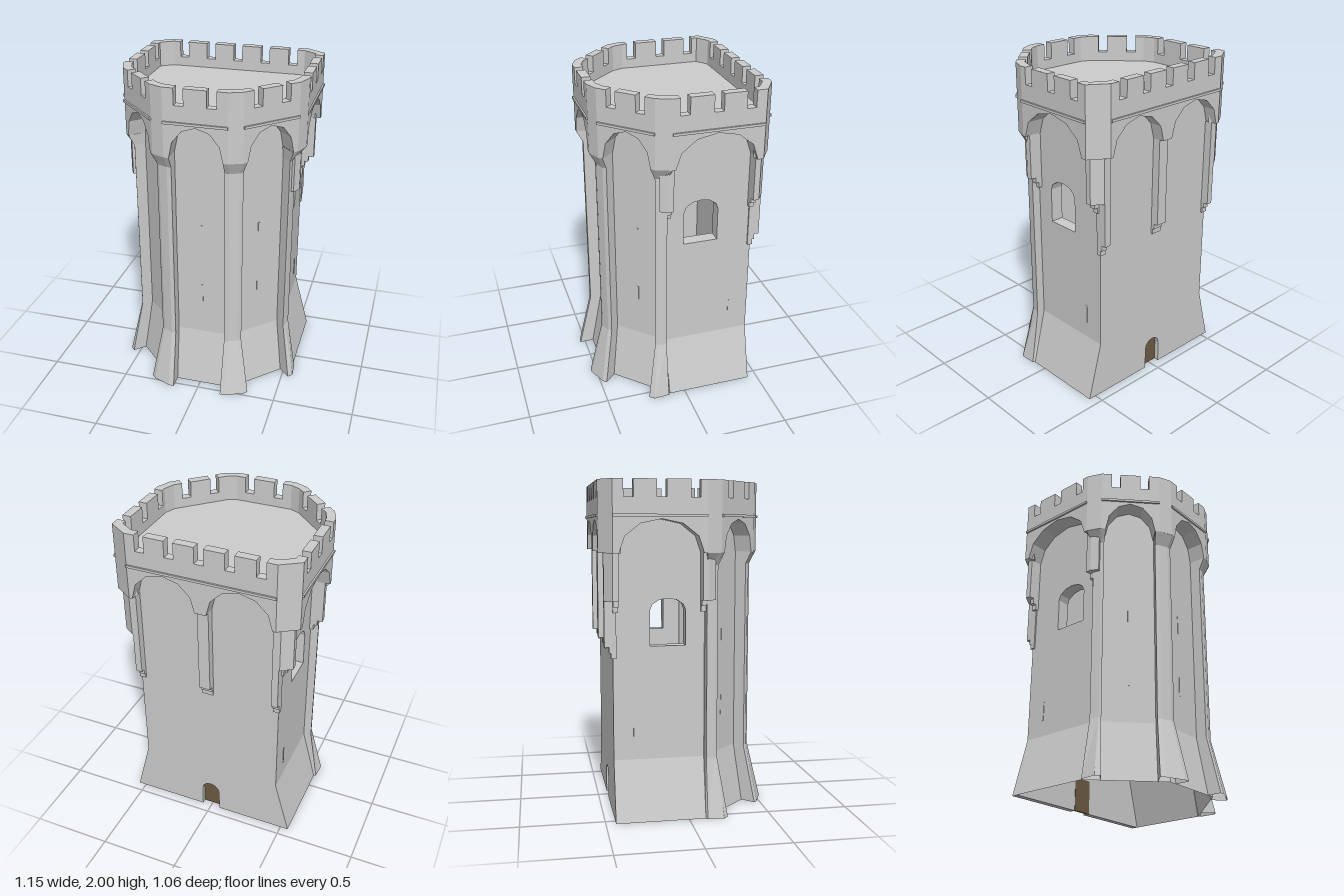
import * as THREE from 'three';

const stone = new THREE.MeshStandardMaterial({ color: 0xcccccc, flatShading: true, side: THREE.DoubleSide });
const wood = new THREE.MeshStandardMaterial({ color: 0x6b5a42, flatShading: true, side: THREE.DoubleSide });

const SPRING = 1.585, ROOF = 1.84, FLARE = 0.36;
const same = pts => pts;
const mirror = pts => pts.map(([x, z]) => [-x, z]).reverse();
const shapeOf = pts => new THREE.Shape(pts.map(([x, y]) => new THREE.Vector2(x, y)));
const length = (a, b) => Math.hypot(b[0] - a[0], b[1] - a[1]);
const rect = (u0, u1, y0, y1) => [[u0, y0], [u1, y0], [u1, y1], [u0, y1]];
const box = (x0, x1, z0, z1) => [[x0, z0], [x1, z0], [x1, z1], [x0, z1]];

// points of a faceted arch, left to right
function arch(u0, u1, y, rise, n = 6) {
  const c = (u0 + u1) / 2, r = (u1 - u0) / 2;
  return Array.from({ length: n + 1 }, (_, i) => {
    const t = Math.PI * (1 - i / n);
    return [c + r * Math.cos(t), y + rise * Math.sin(t)];
  });
}

export function createModel() {
  const model = new THREE.Group();

  function add(name, geometry, material = stone) {
    const mesh = new THREE.Mesh(geometry, material);
    mesh.name = name;
    model.add(mesh);
  }

  // upright slab whose outer face runs from plan point a to b (left to right seen from outside)
  function slab(name, a, b, outline, depth, { holes = [], out = 0, material } = {}) {
    const s = shapeOf(outline);
    holes.forEach(h => s.holes.push(shapeOf(h)));
    const g = new THREE.ExtrudeGeometry(s, { depth, bevelEnabled: false });
    const u = new THREE.Vector3(b[0] - a[0], 0, b[1] - a[1]).normalize();
    const n = new THREE.Vector3(-u.z, 0, u.x);
    const m = new THREE.Matrix4().makeBasis(u, new THREE.Vector3(0, 1, 0), n);
    m.setPosition(a[0] + n.x * (out - depth), 0, a[1] + n.z * (out - depth));
    add(name, g.applyMatrix4(m), material);
  }

  // vertical prism over a plan polygon
  function prism(name, pts, y0, y1) {
    const g = new THREE.ExtrudeGeometry(shapeOf(pts.map(([x, z]) => [x, -z])), { depth: y1 - y0, bevelEnabled: false });
    add(name, g.rotateX(-Math.PI / 2).translate(0, y0, 0));
  }

  // skin between plan sections at rising heights
  function loft(name, sections) {
    const pos = [];
    for (let k = 0; k < sections.length - 1; k++) {
      const [y0, p] = sections[k], [y1, q] = sections[k + 1];
      for (let i = 0; i < p.length - 1; i++) {
        const a = [p[i][0], y0, p[i][1]], b = [p[i + 1][0], y0, p[i + 1][1]];
        const c = [q[i + 1][0], y1, q[i + 1][1]], d = [q[i][0], y1, q[i][1]];
        pos.push(...a, ...b, ...c, ...a, ...c, ...d);
      }
    }
    const g = new THREE.BufferGeometry();
    g.setAttribute('position', new THREE.Float32BufferAttribute(pos, 3));
    g.computeVertexNormals();
    add(name, g);
  }

  // flared foot of the shaft, open below
  const shaftHalf = [[0.185, 0.375], [0.456, 0.104], [0.456, -0.44]];
  const footHalf = [[0.205, 0.445], [0.55, 0.1], [0.55, -0.44]];
  loft('flaredBase', [[0, [...mirror(footHalf), ...footHalf]], [FLARE, [...mirror(shaftHalf), ...shaftHalf]]]);

  // shaft walls with arrow slits, and a window on each side
  function wall(name, a, b, depth, holes, slits) {
    slab(name, a, b, rect(0, length(a, b), FLARE, ROOF), depth, { holes });
    slits.forEach(([u, y]) => slab('arrowSlit', a, b, rect(u - 0.005, u + 0.005, y, y + 0.12), 0.006, { out: 0.003 }));
  }
  const [A, B, C] = shaftHalf;
  const [c, b, a] = mirror(shaftHalf);
  const pair = u => [[u, 0.585], [u, 1.0]];
  wall('frontWall', a, A, 0.02, [], pair(0.185));
  wall('leftDiagonalWall', A, B, 0.02, [], pair(0.192));
  wall('rightDiagonalWall', b, a, 0.02, [], pair(0.192));
  const windowHole = (p, q) => [[p, 1.04], [q, 1.04], ...arch(p, q, 1.25, 0.07).reverse()];
  wall('leftWall', B, C, 0.08, [windowHole(0.113, 0.325)], [[0.42, 0.46]]);
  wall('rightWall', c, b, 0.08, [windowHole(0.219, 0.431)], [[0.124, 0.46]]);

  // back wall with the doorway
  slab('backWall', [0, -0.44], [-1, -0.44], [
    [-0.55, 0], [-0.06, 0], ...arch(-0.06, 0.06, 0.14, 0.06), [0.06, 0],
    [0.55, 0], [0.456, FLARE], [0.456, ROOF], [-0.456, ROOF], [-0.456, FLARE]], 0.04);
  slab('door', [0, -0.41], [-1, -0.41], rect(-0.065, 0.065, 0, 0.21), 0.012, { material: wood });

  // corner pilasters: spreading feet, straight shafts, heads widening under the crown
  const frontPilaster = {
    foot: [[0.156, 0.44], [0.156, 0.532], [0.187, 0.532], [0.3, 0.485], [0.322, 0.463], [0.254, 0.395]],
    shaft: [[0.16, 0.37], [0.16, 0.445], [0.187, 0.445], [0.242, 0.422], [0.261, 0.403], [0.209, 0.351]],
    head: [[0.16, 0.37], [0.16, 0.485], [0.187, 0.485], [0.27, 0.45], [0.289, 0.431], [0.209, 0.351]],
  };
  const sidePilaster = {
    foot: [[0.478, 0.172], [0.543, 0.237], [0.568, 0.21], [0.562, 0.11], [0.545, 0.1]],
    shaft: [[0.433, 0.127], [0.485, 0.179], [0.492, 0.163], [0.505, 0.11], [0.45, 0.108]],
    head: [[0.428, 0.132], [0.508, 0.212], [0.53, 0.19], [0.565, 0.1], [0.45, 0.098]],
  };
  for (const [name, p] of [['frontPilaster', frontPilaster], ['sidePilaster', sidePilaster]]) {
    for (const m of [same, mirror]) {
      loft(name, [[0, m(p.foot)], [FLARE, m(p.shaft)], [1.51, m(p.shaft)], [SPRING, m(p.head)]]);
    }
  }

  // corbels carrying the crown at the sides and back, with small steps below
  for (const m of [same, mirror]) {
    prism('sideCorbel', m([[0.44, 0.08], [0.535, 0.08], [0.535, 0.115], [0.51, 0.16], [0.44, 0.13]]), 1.31, SPRING);
    prism('cornerCorbel', m([[0.44, -0.41], [0.535, -0.41], [0.535, -0.445], [0.47, -0.49], [0.425, -0.49], [0.425, -0.42]]), 1.31, SPRING);
    prism('backCorbel', m(box(0.425, 0.465, -0.49, -0.42)), 1.04, 1.31);
    [0.045, 0.022].forEach((d, i) => {
      const y = 1.275 - i * 0.035;
      prism('corbelStep', m(box(0.44, 0.456 + d, 0.08, 0.108)), y, y + 0.035);
      prism('corbelStep', m(box(0.44, 0.456 + d, -0.44, -0.41)), y, y + 0.035);
      prism('corbelStep', m(box(0.425, 0.465, -0.44 - d / 2, -0.42)), y - 0.27, y - 0.235);
    });
  }
  prism('middleCorbel', box(-0.035, 0.035, -0.49, -0.42), 1.04, SPRING);
  [0.022, 0.011].forEach((d, i) =>
    prism('corbelStep', box(-0.035, 0.035, -0.44 - d, -0.42), 1.005 - i * 0.035, 1.04 - i * 0.035));

  // crown: arched band, string course and battlements on every face
  const half = [[0.19, 0.485], [0.27, 0.45], [0.53, 0.19], [0.565, 0.1], [0.565, -0.445], [0.45, -0.52]];
  const ring = [...half, ...mirror(half)];
  const diagonal = { arches: [[0.03, 0.338]], gaps: [0.092, 0.276] };
  const leftSide = { arches: [[0.02, 0.51]], gaps: [0.07, 0.265, 0.455] };
  const rightSide = { arches: [[0.035, 0.525]], gaps: [0.09, 0.28, 0.475] };
  const back = { arches: [[0.02, 0.415], [0.485, 0.88]], gaps: [0.09, 0.27, 0.45, 0.63, 0.81] };
  const front = { arches: [[0.03, 0.35]], gaps: [0.095, 0.285] };
  const faces = { 1: diagonal, 3: leftSide, 5: back, 7: rightSide, 9: diagonal, 11: front };

  ring.forEach((p, i) => {
    const q = ring[(i + 1) % ring.length], L = length(p, q), face = faces[i];
    const { arches, gaps } = face || { arches: [], gaps: [] };
    slab('archedBand', p, q, [[0, SPRING],
      ...arches.flatMap(([u0, u1]) => arch(u0, u1, SPRING, 0.193)),
      [L, SPRING], [L, ROOF], [0, ROOF]], face ? 0.112 : 0.06);
    const notches = gaps.flatMap(g => [[g - 0.028, 2], [g - 0.028, 1.9], [g + 0.028, 1.9], [g + 0.028, 2]]);
    slab('battlement', p, q, [[0, ROOF], [0, 2], ...notches, [L, 2], [L, ROOF]], 0.053);
    if (face) slab('stringCourse', p, q, rect(0, L, 1.79, 1.805), 0.03, { out: 0.01 });
  });
  const floor = new THREE.ShapeGeometry(shapeOf(ring.map(([x, z]) => [x * 0.97, -z * 0.97])));
  add('roofFloor', floor.rotateX(-Math.PI / 2).translate(0, ROOF + 0.002, 0));

  return model;
}
